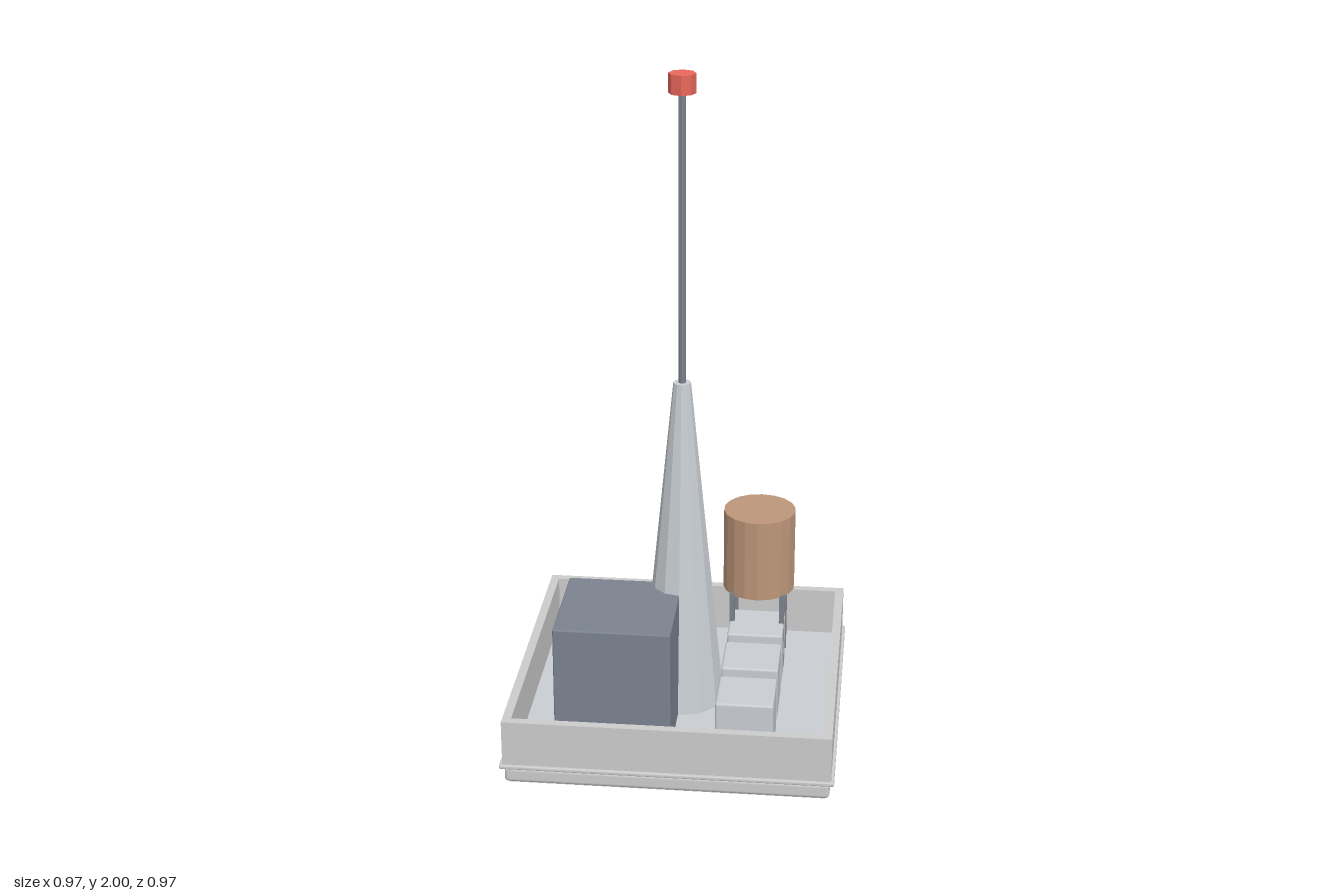
import * as THREE from 'three';
import { RoundedBoxGeometry } from 'three/addons/geometries/RoundedBoxGeometry.js';

const FLOOR = 0.055;
const material = (color, flatShading = false) => new THREE.MeshStandardMaterial({ color, flatShading });
const grey = material(0xcccccc);
const roofGrey = material(0xc9ced3);
const steel = material(0x7d828c, true);
const slate = material(0x7c8390);
const dark = material(0x45464c);
const wood = material(0xbd967a, true);
const red = material(0xe8675a, true);
const coneGrey = material(0xc9ced3, true);

function add(parent, name, geometry, mat, x, y, z) {
  const mesh = new THREE.Mesh(geometry, mat);
  mesh.name = name;
  mesh.position.set(x, y, z);
  parent.add(mesh);
  return mesh;
}

// Box standing on y0, given by its size and the centre of its footprint
function block(parent, name, mat, w, y0, y1, d, x, z, bevel = 0) {
  const h = y1 - y0;
  const geometry = bevel ? new RoundedBoxGeometry(w, h, d, 2, bevel) : new THREE.BoxGeometry(w, h, d);
  return add(parent, name, geometry, mat, x, y0 + h / 2, z);
}

// Upright cylinder or cone between two heights
function column(parent, name, mat, rTop, rBottom, y0, y1, sides, x = 0, z = 0) {
  const geometry = new THREE.CylinderGeometry(rTop, rBottom, y1 - y0, sides);
  return add(parent, name, geometry, mat, x, (y0 + y1) / 2, z);
}

// Square outline used for the parapet and its hole
function square(Type, r) {
  const path = new Type();
  path.moveTo(-r, -r);
  path.lineTo(r, -r);
  path.lineTo(r, r);
  path.lineTo(-r, r);
  path.closePath();
  return path;
}

export function createModel() {
  const model = new THREE.Group();
  model.name = 'rooftop';

  // Base slab and roof deck
  block(model, 'baseSlab', grey, 0.944, 0.004, 0.052, 0.944, 0, 0, 0.012);
  block(model, 'baseUnderside', grey, 0.92, 0, 0.02, 0.92, 0, 0);
  block(model, 'roofDeck', roofGrey, 0.92, 0.04, FLOOR, 0.92, 0, 0);

  // Parapet wall around the deck
  const outline = square(THREE.Shape, 0.476);
  outline.holes.push(square(THREE.Path, 0.45));
  const wall = new THREE.ExtrudeGeometry(outline, { depth: 0.155, bevelEnabled: false });
  wall.rotateX(-Math.PI / 2);
  add(model, 'parapet', wall, grey, 0, 0.05, 0);

  // Thin ledge bars along the foot of the parapet
  const ledge = new THREE.Group();
  ledge.name = 'ledge';
  for (let i = 0; i < 4; i++) {
    const side = new THREE.Group();
    side.rotation.y = i * Math.PI / 2;
    block(side, 'ledgeBar', grey, 0.968, 0.054, 0.066, 0.02, 0, 0.475, 0.004);
    ledge.add(side);
  }
  model.add(ledge);

  // Tapered tower, mast and beacon
  column(model, 'tower', coneGrey, 0.026, 0.128, FLOOR, 1.088, 12);
  column(model, 'mast', steel, 0.011, 0.011, 1.08, 1.95, 8);
  column(model, 'beacon', red, 0.039, 0.039, 1.944, 2, 8);

  // Stair house with its door at the back
  block(model, 'stairHouse', slate, 0.343, FLOOR, 0.44, 0.343, -0.1715, 0.1715, 0.005);
  block(model, 'door', dark, 0.168, FLOOR, 0.32, 0.03, -0.178, -0.003);

  // Row of ventilation units
  for (let i = 0; i < 3; i++) {
    block(model, 'ventUnit', roofGrey, 0.17, FLOOR, 0.225, 0.17, 0.215, 0.258 - i * 0.216, 0.007);
  }

  // Water tank on four legs
  const tank = new THREE.Group();
  tank.name = 'waterTank';
  tank.position.set(0.215, 0, -0.26);
  column(tank, 'tankBody', wood, 0.111, 0.111, 0.314, 0.574, 18);
  for (const sx of [-1, 1]) {
    for (const sz of [-1, 1]) {
      block(tank, 'tankLeg', steel, 0.016, FLOOR, 0.32, 0.016, sx * 0.077, sz * 0.077);
    }
  }
  model.add(tank);

  return model;
}
